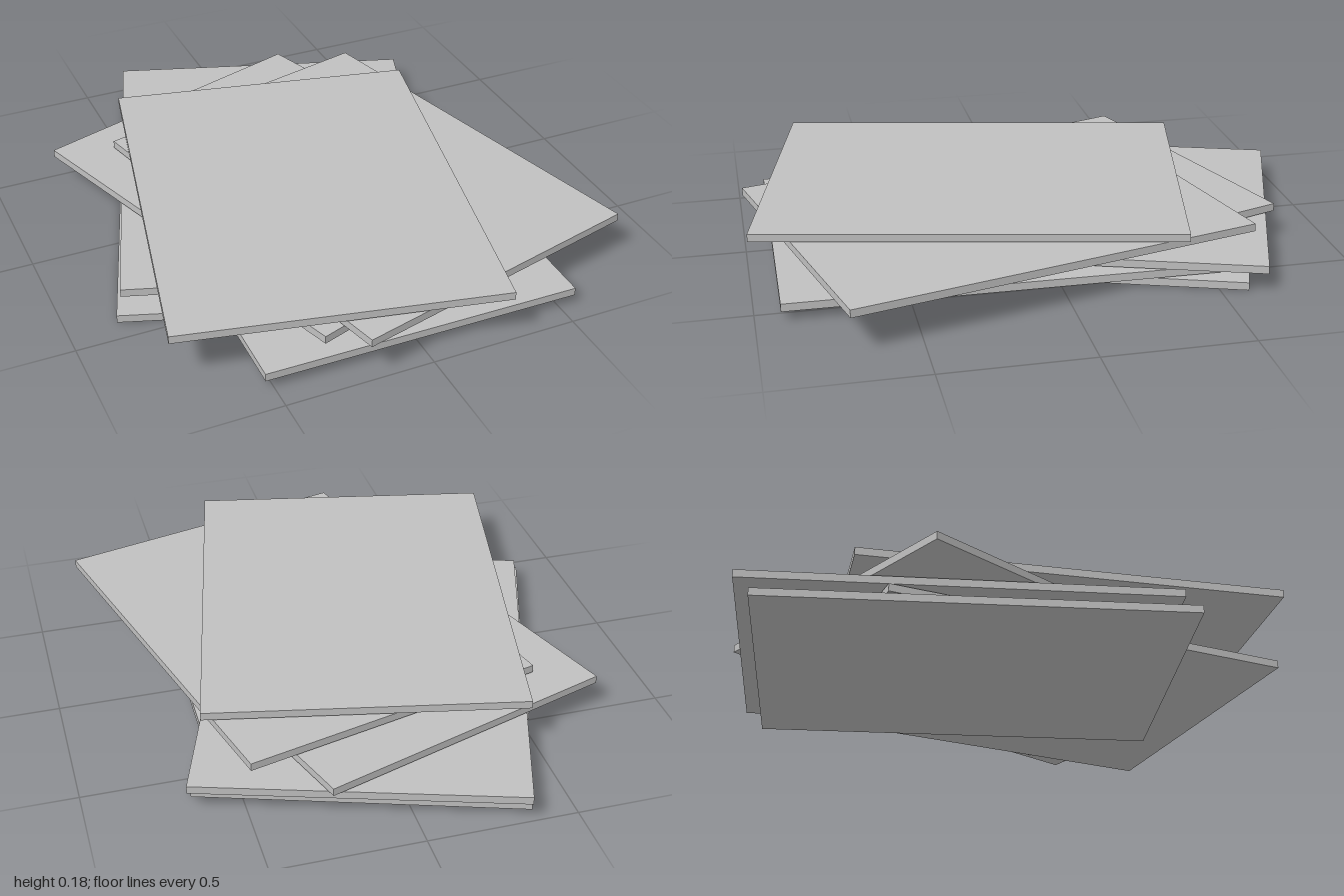
import * as THREE from 'three';

// Loose stack of six identical boards, each turned and shifted a little
export function createModel() {
  const group = new THREE.Group();
  group.name = 'boardStack';

  const grey = new THREE.MeshStandardMaterial({ color: 0xc0c0c0 });
  grey.name = 'light grey';

  const width = 1.083, depth = 1.443, thickness = 0.027, pitch = 0.0315;
  const board = new THREE.BoxGeometry(width, thickness, depth);

  // Bottom to top: centre x, centre z, turn in degrees
  const placements = [
    [-0.09, -0.088, -19.1],
    [0.021, 0.191, -0.5],
    [-0.064, -0.139, -18.6],
    [-0.035, 0.032, 18.5],
    [0.13, 0.161, 14.4],
    [-0.1, 0.18, -12.2],
  ];

  placements.forEach(([x, z, turn], i) => {
    const mesh = new THREE.Mesh(board, grey);
    mesh.name = `board${i + 1}`;
    mesh.position.set(x, thickness / 2 + i * pitch, z);
    mesh.rotation.y = THREE.MathUtils.degToRad(turn);
    group.add(mesh);
  });

  return group;
}
